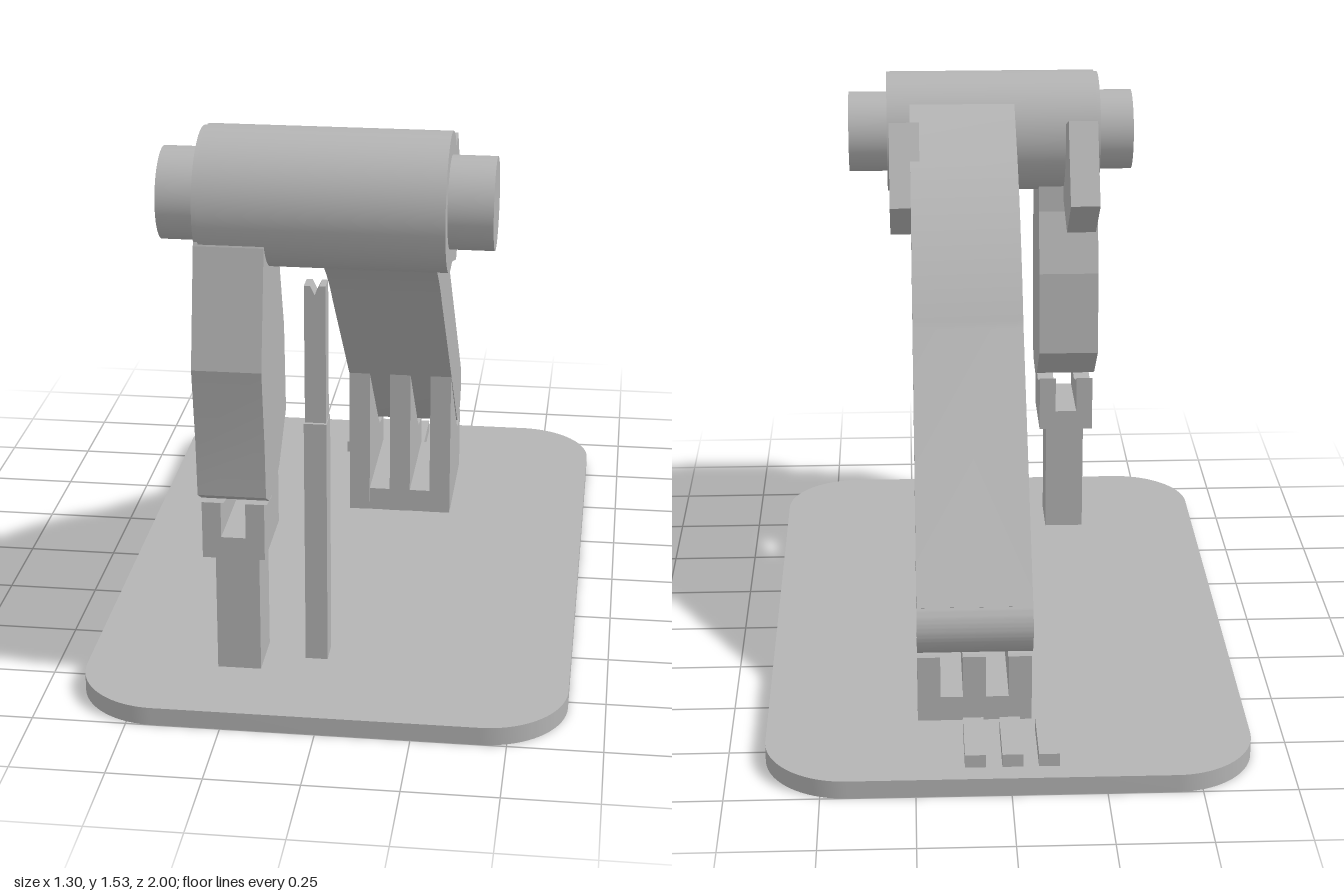
import * as THREE from 'three';
import { toCreasedNormals } from 'three/addons/utils/BufferGeometryUtils.js';

export function createModel() {
  const root = new THREE.Group();
  root.name = 'jointedArmOnStand';
  const grey = new THREE.MeshStandardMaterial({ color: 0xb4b4b4 });
  grey.name = 'plain grey';

  const add = (name, geometry, x = 0, y = 0, z = 0) => {
    const mesh = new THREE.Mesh(geometry, grey);
    mesh.name = name;
    mesh.position.set(x, y, z);
    root.add(mesh);
    return mesh;
  };
  // Box given by its limits on each axis
  const box = (name, x0, x1, y0, y1, z0, z1) =>
    add(name, new THREE.BoxGeometry(x1 - x0, y1 - y0, z1 - z0),
      (x0 + x1) / 2, (y0 + y1) / 2, (z0 + z1) / 2);
  // Side profile (horizontal axis is -z) swept from x0 to x1
  const sweep = (name, shape, x0, x1, crease = 0.1) => {
    const g = new THREE.ExtrudeGeometry(shape, { depth: x1 - x0, bevelEnabled: false, curveSegments: 24 });
    g.rotateY(Math.PI / 2);
    return add(name, toCreasedNormals(g, crease), x0);
  };
  // Shape from [z, y] points
  const profile = (pts) => new THREE.Shape(pts.map(([z, y]) => new THREE.Vector2(-z, y)));
  const rod = (name, r, x0, x1) => {
    const g = new THREE.CylinderGeometry(r, r, x1 - x0, 64);
    g.rotateZ(Math.PI / 2);
    return add(name, g, (x0 + x1) / 2, 1.35, 0.64);
  };

  // Rounded base plate
  const w = 0.65, d = 1, r = 0.22;
  const plate = new THREE.Shape();
  plate.absarc(w - r, d - r, r, 0, Math.PI / 2);
  plate.absarc(-w + r, d - r, r, Math.PI / 2, Math.PI);
  plate.absarc(-w + r, -d + r, r, Math.PI, Math.PI * 1.5);
  plate.absarc(w - r, -d + r, r, Math.PI * 1.5, Math.PI * 2);
  const plateGeo = new THREE.ExtrudeGeometry(plate, { depth: 0.05, bevelEnabled: false, curveSegments: 16 });
  plateGeo.rotateX(-Math.PI / 2);
  add('basePlate', toCreasedNormals(plateGeo, 0.5));

  // Hinge barrel and its pin
  rod('hingeBarrel', 0.18, -0.315, 0.31);
  rod('hingePin', 0.12, -0.43, 0.425);

  // Long curved arm with a rounded foot
  const arm = new THREE.Shape();
  arm.moveTo(-0.64, 1.5);
  arm.lineTo(-0.5, 1.465);
  arm.lineTo(-0.27, 1.34);
  arm.quadraticCurveTo(-0.05, 1.2, 0.1, 0.97);
  arm.lineTo(0.684, 0.389);
  arm.absarc(0.62, 0.325, 0.09, Math.PI / 4, -Math.PI * 0.75, true);
  arm.lineTo(-0.07, 0.87);
  arm.quadraticCurveTo(-0.3, 1.12, -0.62, 1.172);
  sweep('longArm', arm, -0.07, 0.242, 0.4);

  // Angular lugs on both sides of the arm
  const lug = profile([[0.6, 1.35], [0.47, 1.41], [0.35, 1.45], [0.215, 1.23], [0.37, 1.105], [0.6, 1.172]]);
  sweep('rightLug', lug, -0.308, -0.222);
  sweep('leftLug', lug, 0.215, 0.303);

  // Hanging faceted block with a round head
  rod('hangingBlockHead', 0.175, -0.327, -0.15);
  sweep('hangingBlock', profile([
    [0.8, 1.26], [0.865, 0.95], [0.832, 0.74], [0.82, 0.585], [0.77, 0.555], [0.68, 0.545],
    [0.59, 0.58], [0.46, 0.69], [0.478, 0.94], [0.54, 1.12], [0.55, 1.3], [0.64, 1.4], [0.76, 1.36],
  ]), -0.327, -0.147);

  // Front column with a two-pronged cradle
  box('frontColumn', -0.295, -0.178, 0.05, 0.4, 0.602, 0.755);
  box('frontCradleFloor', -0.27, -0.205, 0.4, 0.46, 0.56, 0.805);
  const cradle = profile([
    [0.805, 0.4], [0.56, 0.4], [0.56, 0.57], [0.6, 0.55], [0.68, 0.525], [0.76, 0.538], [0.805, 0.558],
  ]);
  for (const x of [-0.32, -0.205]) sweep('frontCradleProng', cradle, x, x + 0.05);

  // Slim stepped strut with a notched tip
  box('strutLower', -0.067, -0.007, 0.05, 0.74, 0.604, 0.68);
  const tip = new THREE.Shape([
    [-0.065, 0.74], [-0.009, 0.74], [-0.009, 1.12], [-0.025, 1.12],
    [-0.037, 1.095], [-0.049, 1.12], [-0.065, 1.12],
  ].map(([x, y]) => new THREE.Vector2(x, y)));
  add('strutUpper', new THREE.ExtrudeGeometry(tip, { depth: 0.055, bevelEnabled: false }), 0, 0, 0.615);

  // Rear cradle: three ribs joined by a low floor
  const rib = profile([
    [-0.3, 0.05], [-0.682, 0.05], [-0.682, 0.24], [-0.65, 0.22], [-0.615, 0.215],
    [-0.58, 0.222], [-0.55, 0.245], [-0.3, 0.5],
  ]);
  box('rearCradleFloor', -0.06, 0.235, 0.05, 0.12, -0.681, -0.301);
  for (const x of [-0.067, 0.057, 0.18]) sweep('rearCradleRib', rib, x, x + 0.062);

  // Three low bars behind the rear cradle
  for (const x of [-0.128, -0.032, 0.066]) box('rearBar', x, x + 0.055, 0.05, 0.086, -0.94, -0.735);

  return root;
}
